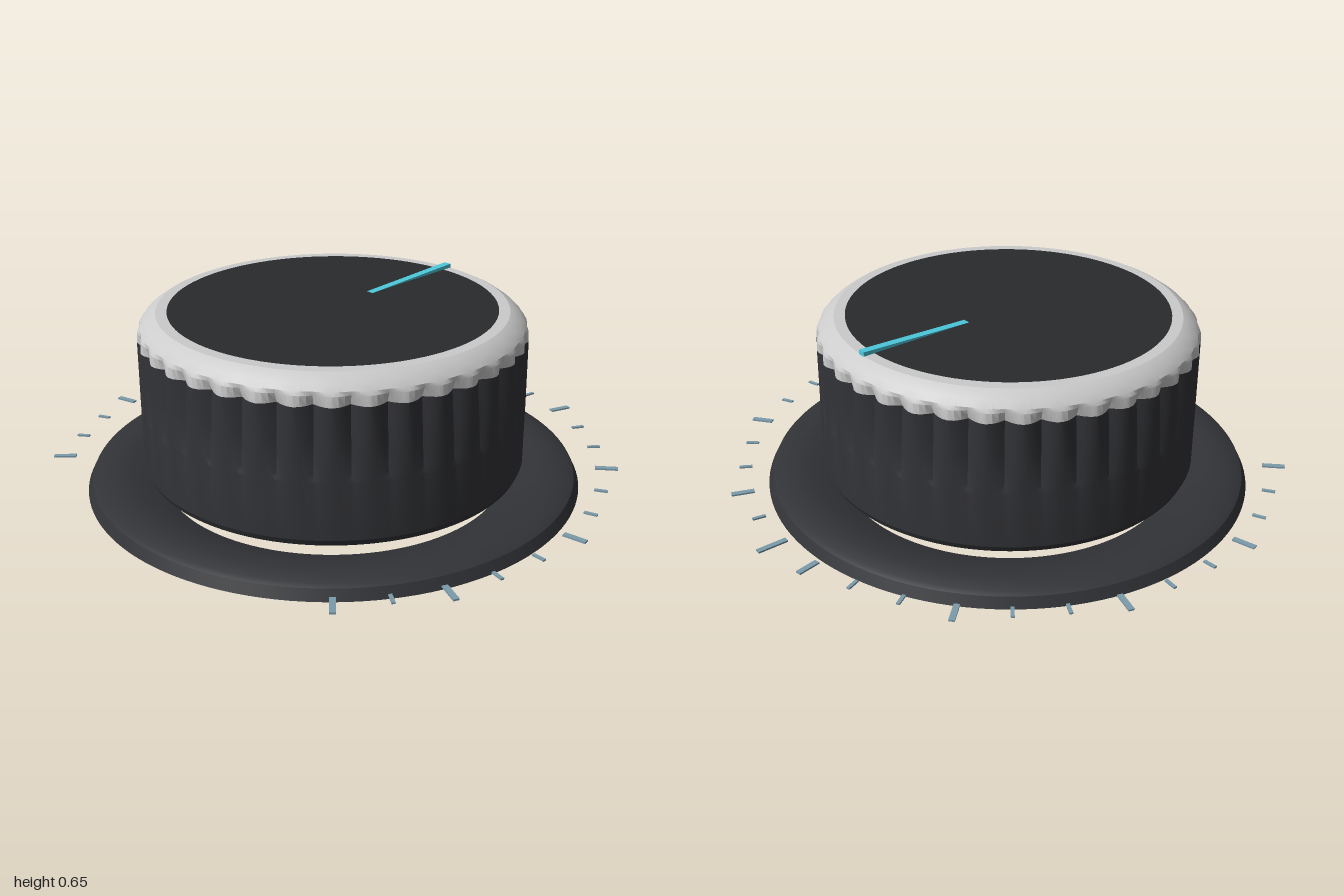
import * as THREE from 'three';
import { toCreasedNormals } from 'three/addons/utils/BufferGeometryUtils.js';

const FLUTES = 36;
const paint = (color, side = THREE.FrontSide) => new THREE.MeshStandardMaterial({ color, side });

function part(name, geometry, material, parent) {
  const mesh = new THREE.Mesh(geometry, material);
  mesh.name = name;
  parent.add(mesh);
  return mesh;
}

// Revolved profile of [radius, height, flute depth]; depth cuts rounded lobes into the wall
function fluted(profile) {
  const points = profile.map(([r, y]) => new THREE.Vector2(r, y));
  const geometry = new THREE.LatheGeometry(points, FLUTES * 6);
  const pos = geometry.attributes.position;
  for (let i = 0; i < pos.count; i++) {
    const depth = profile[i % profile.length][2] || 0;
    const x = pos.getX(i), z = pos.getZ(i);
    const r = Math.hypot(x, z);
    const lobe = Math.abs(Math.sin(Math.atan2(x, z) * FLUTES / 2));
    const k = (r - depth * (1 - lobe)) / r;
    pos.setXYZ(i, x * k, pos.getY(i), z * k);
  }
  return toCreasedNormals(geometry, 0.42);
}

function disc(name, radius, y, up, material, parent) {
  const mesh = part(name, new THREE.CircleGeometry(radius, 96), material, parent);
  mesh.rotation.x = up ? -Math.PI / 2 : Math.PI / 2;
  mesh.position.y = y;
}

export function createModel() {
  const model = new THREE.Group();
  model.name = 'rotaryKnob';
  const dial = new THREE.Group();
  dial.name = 'dial';
  dial.position.set(-0.013, 0, 0.08);
  model.add(dial);

  const dark = paint(0x323337);
  const darker = paint(0x282a2c);
  const cyan = paint(0x4cc9dc);
  const tickPaint = paint(0x7c9bab);

  // Base skirt: a raised open ring around the knob
  const skirt = [[0.88, 0], [0.862, 0.036], [0.845, 0.045], [0.79, 0.055], [0.73, 0.052], [0.61, 0]]
    .map(([r, y]) => new THREE.Vector2(r, y));
  part('baseRing', toCreasedNormals(new THREE.LatheGeometry(skirt, 128), 0.6),
    paint(0x323337, THREE.DoubleSide), dial);

  // Grip: flutes deepen towards the top
  part('grip', fluted([
    [0.65, 0.06], [0.667, 0.068], [0.677, 0.09], [0.677, 0.29, 0.003],
    [0.677, 0.31, 0.012], [0.676, 0.42, 0.02], [0.675, 0.54, 0.03],
  ]), dark, dial);
  disc('gripBottom', 0.65, 0.06, false, darker, dial);

  // Bright bevelled cap, scalloped where it meets the grip
  part('cap', fluted([
    [0.675, 0.54, 0.03], [0.672, 0.575, 0.012], [0.665, 0.588, 0.003], [0.645, 0.608],
    [0.622, 0.624], [0.608, 0.631], [0.565, 0.631],
  ]), paint(0xcccccc), dial);
  disc('topFace', 0.57, 0.632, true, darker, dial);

  // Pointer: thin bar rising slightly towards the rim
  const pointer = part('pointer', new THREE.BoxGeometry(0.028, 0.018, 0.49), cyan, dial);
  pointer.position.set(0, 0.629, -0.365);
  pointer.rotation.x = 0.033;

  // Scale: 27 ticks over 270 degrees, every third one long
  const ticks = new THREE.Group();
  ticks.name = 'scaleTicks';
  dial.add(ticks);
  for (let i = 0; i <= 26; i++) {
    const major = i % 3 === 0 || i === 13 || i === 26;
    const length = i === 13 ? 0.108 : major ? 0.08 : 0.046;
    const angle = THREE.MathUtils.degToRad(-135 + i * 270 / 26);
    const r = 0.937 + length / 2;
    const tick = part(major ? 'longTick' : 'shortTick',
      new THREE.BoxGeometry(major ? 0.02 : 0.012, 0.006, length), tickPaint, ticks);
    tick.position.set(Math.sin(angle) * r, 0.053, -Math.cos(angle) * r);
    tick.rotation.y = -angle;
  }
  return model;
}
